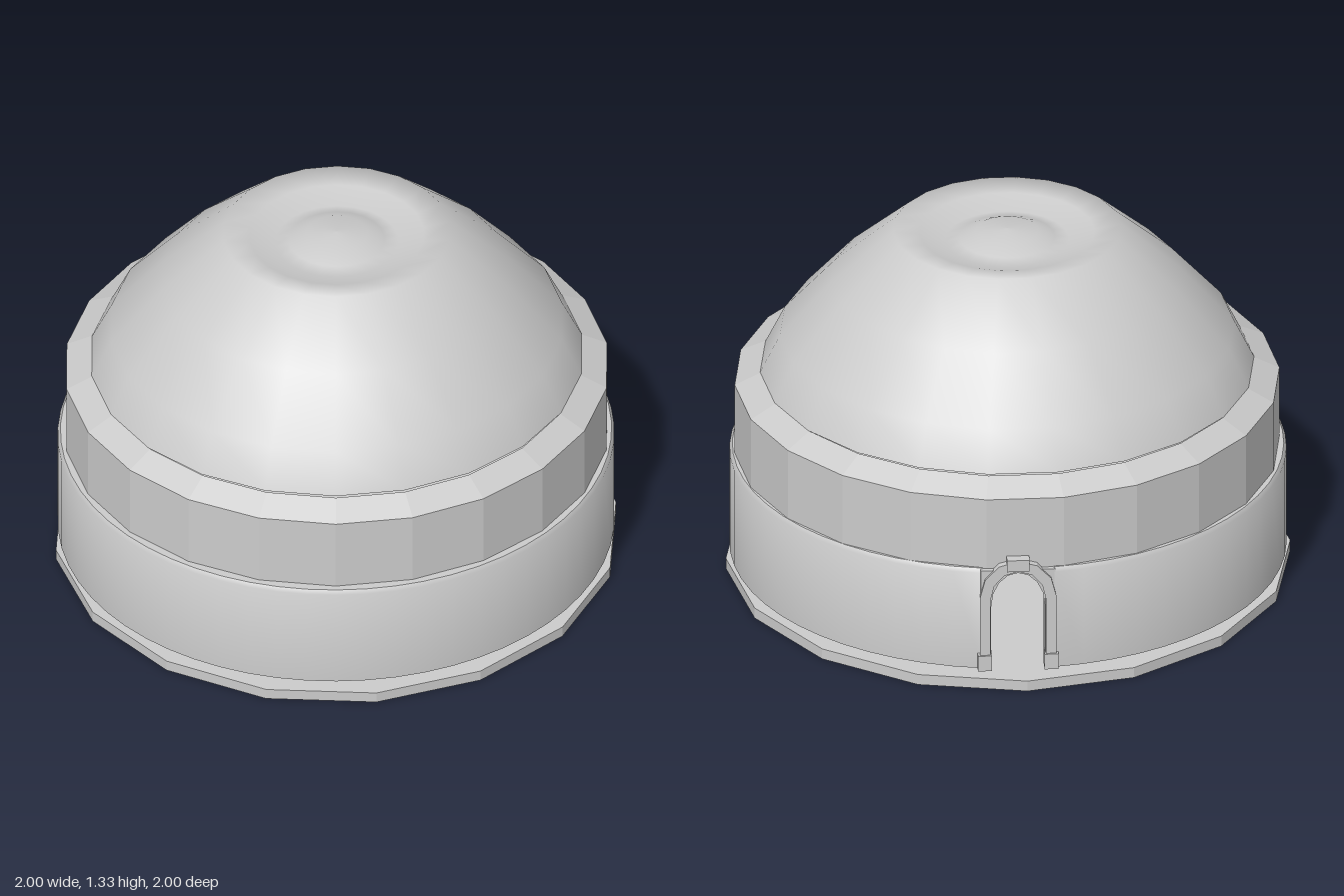
import * as THREE from 'three';
import { toCreasedNormals } from 'three/addons/utils/BufferGeometryUtils.js';

const smooth = new THREE.MeshStandardMaterial({ color: 0xcccccc, side: THREE.DoubleSide });
const faceted = new THREE.MeshStandardMaterial({ color: 0xcccccc, flatShading: true, side: THREE.DoubleSide });

function add(parent, name, geometry, material) {
  const mesh = new THREE.Mesh(geometry, material);
  mesh.name = name;
  parent.add(mesh);
  return mesh;
}

// Revolve [radius, y] pairs
function revolve(points, segments, start = 0, sweep = Math.PI * 2) {
  return new THREE.LatheGeometry(points.map(([r, y]) => new THREE.Vector2(r, y)), segments, start, sweep);
}

// Doorway outline points from the left foot over the arch to the right foot
function archPoints(halfWidth, foot, spring, rise, steps) {
  const pts = [new THREE.Vector2(-halfWidth, foot)];
  for (let i = 0; i <= steps; i++) {
    const a = Math.PI * (1 - i / steps);
    pts.push(new THREE.Vector2(halfWidth * Math.cos(a), spring + rise * Math.sin(a)));
  }
  pts.push(new THREE.Vector2(halfWidth, foot));
  return pts;
}

export function createModel() {
  const model = new THREE.Group();
  model.name = 'domedBuilding';

  // Sixteen-sided ground slab
  add(model, 'baseSlab', new THREE.CylinderGeometry(1, 1, 0.04, 16).translate(0, 0.02, 0), faceted);

  // Thick lower wall, open where the doorway panel sits
  const doorX = 0.03, gap = 0.13;
  const wall = revolve(
    [[0.91, 0.07], [0.985, 0.07], [0.985, 0.45], [0.975, 0.465], [0.91, 0.465], [0.91, 0.07]],
    56, Math.PI - doorX + gap, Math.PI * 2 - 2 * gap
  ).scale(1, 1, 0.975);
  add(model, 'lowerWall', toCreasedNormals(wall, 0.9), smooth);

  // Wall panel with the arched opening
  const panel = new THREE.Shape([
    new THREE.Vector2(0.132, 0.07), new THREE.Vector2(0.132, 0.462),
    new THREE.Vector2(-0.132, 0.462), new THREE.Vector2(-0.132, 0.07),
    ...archPoints(0.095, 0.07, 0.32, 0.13, 8),
  ]);
  add(model, 'doorPanel', new THREE.ExtrudeGeometry(panel, { depth: 0.07, bevelEnabled: false })
    .translate(doorX, 0, -0.955), faceted);

  // Arched door surround with a foot block on each side
  const door = new THREE.Group();
  door.name = 'doorSurround';
  door.position.set(doorX, 0, 0);
  model.add(door);
  const surround = new THREE.Shape([
    ...archPoints(0.135, 0.07, 0.36, 0.14, 6),
    ...archPoints(0.098, 0.07, 0.35, 0.11, 6).reverse(),
  ]);
  add(door, 'doorArch', new THREE.ExtrudeGeometry(surround, { depth: 0.05, bevelEnabled: false })
    .translate(0, 0, -0.965), faceted);
  for (const side of [-1, 1]) {
    add(door, 'doorFoot', new THREE.BoxGeometry(0.05, 0.06, 0.05)
      .translate(side * 0.118, 0.1, -0.947), faceted);
  }
  add(door, 'keystone', new THREE.BoxGeometry(0.08, 0.045, 0.05).translate(0, 0.487, -0.95), faceted);

  // Faceted drum with a sloping shoulder
  const sides = 22, half = Math.PI / sides;
  const drum = revolve([[0.84, 0.46], [0.965, 0.46], [0.965, 0.737], [0.87, 0.785]], sides, half)
    .scale(1, 1, 0.972).translate(0.004, 0, -0.01);
  add(model, 'drum', drum, faceted);

  // Smooth dome with a shallow crater and a low central boss
  const dome = revolve([
    [0.875, 0.785], [0.805, 0.93], [0.62, 1.14], [0.405, 1.33], [0.31, 1.315],
    [0.22, 1.285], [0.17, 1.295], [0.11, 1.322], [0, 1.33],
  ], sides, half).scale(1, 1, 0.955).translate(0.004, 0, -0.01);
  add(model, 'dome', dome, smooth);

  return model;
}
